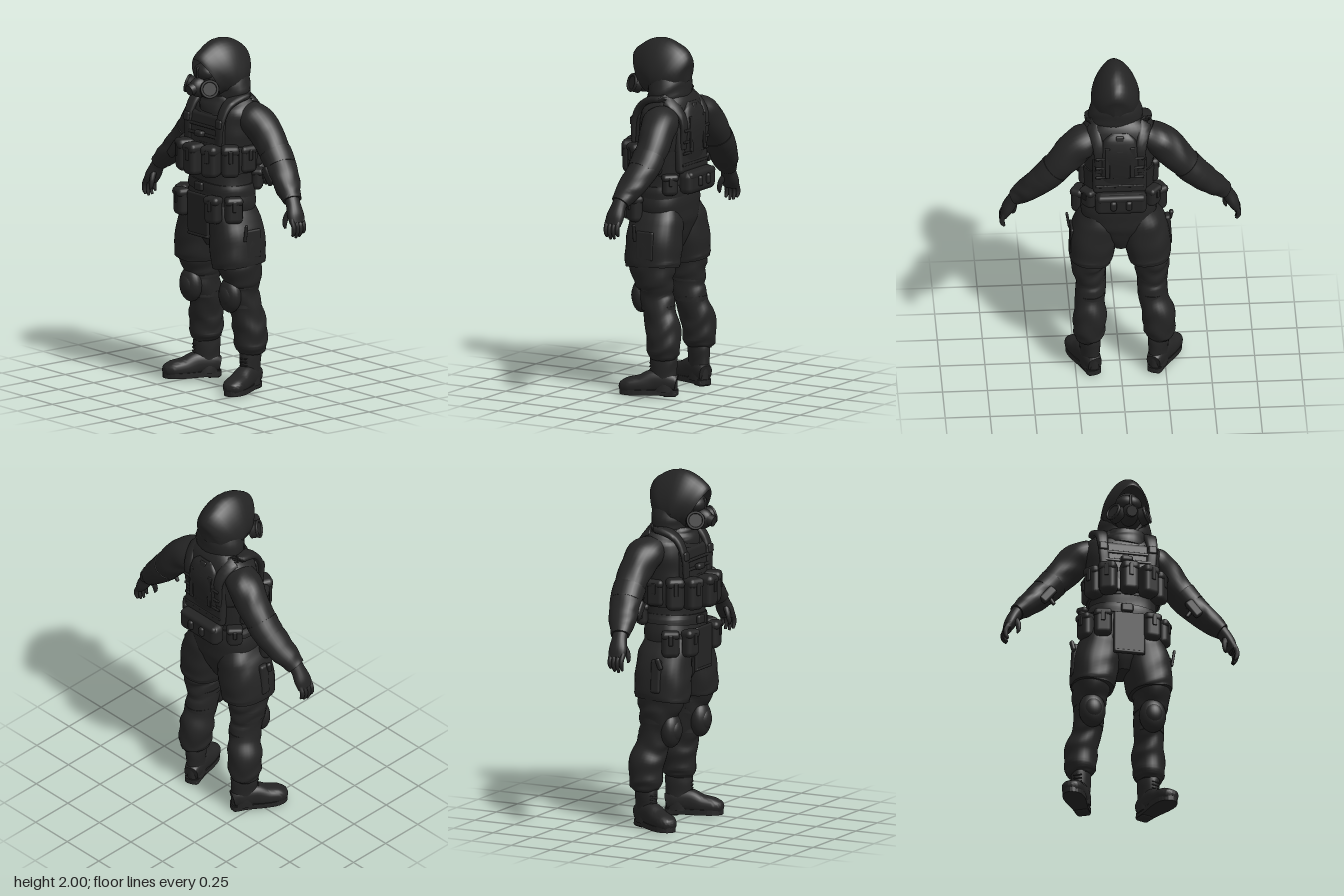
import * as THREE from 'three';
import { toCreasedNormals } from 'three/addons/utils/BufferGeometryUtils.js';
import { RoundedBoxGeometry } from 'three/addons/geometries/RoundedBoxGeometry.js';

const fabric = new THREE.MeshStandardMaterial({ color: 0x242424, side: THREE.DoubleSide });
fabric.name = 'charcoal';

function add(parent, name, geo, x = 0, y = 0, z = 0, rx = 0, ry = 0, rz = 0) {
  const m = new THREE.Mesh(geo, fabric);
  m.name = name;
  m.position.set(x, y, z);
  m.rotation.set(rx, ry, rz, 'YXZ');
  parent.add(m);
  return m;
}

const box = (parent, name, w, h, d, x, y, z, ry = 0, rx = 0, rz = 0, r = 0.015) =>
  add(parent, name, new RoundedBoxGeometry(w, h, d, 2, Math.min(r, w / 2.1, h / 2.1, d / 2.1)), x, y, z, rx, ry, rz);

// Smooth loft through rings [x, y, z, halfWidth, halfDepth]; ref is the depth axis, taper narrows its far side.
function loft(rings, { ref = [0, 0, 1], seg = 28, sub = 5, square = 2, folds = 0, taper = 0, cap = true } = {}) {
  const path = new THREE.CatmullRomCurve3(rings.map(r => new THREE.Vector3(r[0], r[1], r[2])));
  const size = new THREE.CatmullRomCurve3(rings.map(r => new THREE.Vector3(r[3], r[4], 0)));
  const n = (rings.length - 1) * sub, pos = [], idx = [];
  const row = (c, U, V, a, b, v) => {
    for (let j = 0; j < seg; j++) {
      const q = j / seg * Math.PI * 2, cs = Math.cos(q), sn = Math.sin(q), e = 2 / square;
      const k = 1 + folds * Math.sin(v * 4.2 + 1.5 * Math.sin(q * 2 + v) + Math.cos(q * 3));
      const p = c.clone().addScaledVector(U, Math.sign(cs) * Math.abs(cs) ** e * a * k * (1 - taper * sn))
        .addScaledVector(V, Math.sign(sn) * Math.abs(sn) ** e * b * k);
      pos.push(p.x, p.y, p.z);
    }
  };
  for (let i = 0; i <= n; i++) {
    const c = path.getPoint(i / n), s = size.getPoint(i / n), t = path.getTangent(i / n);
    const V = new THREE.Vector3(...ref);
    V.addScaledVector(t, -V.dot(t)).normalize();
    const U = new THREE.Vector3().crossVectors(t, V);
    if (i === 0 && cap) row(c, U, V, 0, 0, 0);
    row(c, U, V, Math.max(s.x, 0), Math.max(s.y, 0), i / sub);
    if (i === n && cap) row(c, U, V, 0, 0, 0);
  }
  const rows = pos.length / 3 / seg;
  for (let i = 0; i < rows - 1; i++) for (let j = 0; j < seg; j++) {
    const a = i * seg + j, b = i * seg + (j + 1) % seg;
    idx.push(a, a + seg, b, b, a + seg, b + seg);
  }
  const g = new THREE.BufferGeometry();
  g.setAttribute('position', new THREE.Float32BufferAttribute(pos, 3));
  g.setIndex(idx);
  return toCreasedNormals(g, 0.9);
}

const ball = (parent, name, rx, ry, rz, x, y, z) =>
  add(parent, name, new THREE.SphereGeometry(1, 24, 16), x, y, z).scale.set(rx, ry, rz);

// Pouch with an overlapping lid and a closing tab
function pouch(parent, name, w, h, d, x, y, z, ry) {
  const g = new THREE.Group();
  g.name = name;
  g.position.set(x, y, z);
  g.rotation.y = ry;
  parent.add(g);
  box(g, 'pouchBody', w, h, d, 0, 0, 0, 0, 0, 0, 0.03);
  box(g, 'pouchLid', w + 0.004, h * 0.32, d + 0.008, 0, h * 0.35, 0.001, 0, 0, 0, 0.026);
  box(g, 'pouchTab', w * 0.25, h * 0.4, 0.01, 0, h * 0.18, d / 2 + 0.003);
}

function buildHead(root) {
  const head = new THREE.Group();
  head.name = 'head';
  head.position.x = 0.025;
  root.add(head);
  add(head, 'hood', loft([
    [0, 1.785, 0.135, 0.095, 0.128], [0, 1.81, 0.09, 0.115, 0.152], [0, 1.828, 0.02, 0.132, 0.17],
    [0, 1.805, -0.05, 0.13, 0.16], [0, 1.765, -0.11, 0.095, 0.105], [0, 1.75, -0.14, 0.02, 0.02],
  ], { ref: [0, 1, 0], seg: 36, cap: false, folds: 0.008, taper: 0.24 }));
  add(head, 'hoodSkirt', loft([
    [0, 1.64, -0.03, 0.13, 0.1], [0, 1.69, -0.03, 0.152, 0.112], [0, 1.75, -0.028, 0.145, 0.114], [0, 1.83, -0.02, 0.118, 0.1],
  ], { folds: 0.015 }));
  // Gas mask
  ball(head, 'face', 0.085, 0.115, 0.09, -0.005, 1.785, 0.075);
  ball(head, 'visor', 0.074, 0.05, 0.055, -0.01, 1.815, 0.125);
  box(head, 'visorBridge', 0.014, 0.07, 0.02, -0.01, 1.815, 0.173);
  ball(head, 'maskSnout', 0.05, 0.06, 0.075, -0.012, 1.735, 0.15);
  add(head, 'outletValve', new THREE.CylinderGeometry(0.03, 0.036, 0.05, 20), -0.014, 1.73, 0.21, Math.PI / 2 + 0.25);
  for (const s of [1, -1]) {
    const f = new THREE.Group();
    f.name = 'filter';
    f.position.set(s * 0.078 - 0.01, 1.735, 0.155);
    f.rotation.set(0.1, -s * 0.55, -s * (Math.PI / 2 - 0.25), 'YXZ');
    head.add(f);
    add(f, 'filterCan', new THREE.CylinderGeometry(0.048, 0.052, 0.045, 24));
    add(f, 'filterRim', new THREE.TorusGeometry(0.045, 0.008, 8, 24), 0, 0.022, 0, Math.PI / 2);
  }
}

function buildTorso(root) {
  add(root, 'torso', loft([
    [0, 0.82, 0, 0.05, 0.09], [0, 0.9, 0, 0.12, 0.125], [0, 0.98, 0, 0.195, 0.148], [0.005, 1.08, -0.005, 0.213, 0.151], [0.01, 1.2, -0.005, 0.188, 0.142],
    [0.01, 1.32, -0.01, 0.19, 0.145], [0.01, 1.45, -0.03, 0.205, 0.155], [0.01, 1.56, -0.035, 0.215, 0.152],
    [0.01, 1.63, -0.035, 0.195, 0.128], [0.01, 1.69, -0.02, 0.12, 0.1],
  ], { seg: 40, square: 2.4, folds: 0.012 }));
  add(root, 'collar', loft([[0.015, 1.6, 0, 0.13, 0.125], [0.02, 1.65, 0.005, 0.125, 0.11], [0.02, 1.69, 0.01, 0.1, 0.09]], { folds: 0.03 }));
  // Plate carrier, front and back
  box(root, 'chestPlate', 0.29, 0.32, 0.06, 0.01, 1.42, 0.105, 0, -0.1, 0, 0.025);
  box(root, 'backPlate', 0.3, 0.36, 0.05, 0.01, 1.44, -0.148, 0, 0.07, 0, 0.024);
  add(root, 'hydrationPack', loft([
    [0.01, 1.32, -0.16, 0.1, 0.02], [0.01, 1.4, -0.165, 0.11, 0.03], [0.01, 1.52, -0.17, 0.108, 0.037], [0.01, 1.61, -0.16, 0.09, 0.03], [0.01, 1.65, -0.15, 0.05, 0.014],
  ], { square: 2.8 }));
  box(root, 'dragHandle', 0.045, 0.1, 0.016, 0.01, 1.595, -0.186, 0, 0.25);
  add(root, 'cummerbund', loft([[0.01, 1.25, -0.01, 0.2, 0.152], [0.01, 1.33, -0.012, 0.205, 0.158], [0.01, 1.4, -0.02, 0.205, 0.16]], { square: 2.5 }));
  for (let i = 0; i < 4; i++) {
    box(root, 'backWebbing', 0.27, 0.016, 0.01, 0.01, 1.31 + i * 0.065, -0.18 - i * 0.005, 0, 0.07);
    if (i < 2) box(root, 'chestWebbing', 0.27, 0.018, 0.012, 0.01, 1.46 + i * 0.05, 0.136 - i * 0.004, 0, -0.1);
  }
  box(root, 'chestClip', 0.07, 0.035, 0.04, 0.0, 1.465, 0.15);
  for (const s of [1, -1]) {
    const x = 0.01 + s * 0.14;
    add(root, 'shoulderStrap', loft([
      [x - s * 0.01, 1.42, 0.13, 0.028, 0.012], [x, 1.55, 0.122, 0.03, 0.014], [x, 1.635, 0.075, 0.036, 0.018], [x + s * 0.005, 1.675, -0.01, 0.043, 0.02],
      [x, 1.655, -0.1, 0.038, 0.02], [x - s * 0.02, 1.57, -0.172, 0.03, 0.015], [x - s * 0.03, 1.4, -0.172, 0.026, 0.012],
    ], { ref: [0, 0.3, 1], seg: 16, square: 3 }));
    box(root, 'strapBuckle', 0.05, 0.05, 0.022, x, 1.54, 0.135, 0, -0.1);
    box(root, 'backStrap', 0.028, 0.2, 0.01, 0.01 + s * 0.07, 1.48, -0.198, 0, 0.03);
  }
  // Chest magazine pouches wrapped around the front
  for (const [x, z, a] of [[0, 0.195, 0], [0.115, 0.165, 0.4], [-0.115, 0.165, -0.4], [0.185, 0.085, 0.95], [-0.175, 0.085, -0.95]])
    pouch(root, 'magazinePouch', 0.1, 0.18, 0.095, x + 0.005, 1.33, z, a);
  for (const s of [1, -1]) pouch(root, 'sidePouch', 0.1, 0.15, 0.05, 0.01 + s * 0.195, 1.33, -0.03, s * 1.5);
}

function buildBelt(root) {
  add(root, 'belt', loft([[0.005, 1.135, -0.005, 0.21, 0.152], [0.008, 1.165, -0.005, 0.207, 0.153], [0.01, 1.195, -0.005, 0.196, 0.15]], { square: 2.4 }));
  box(root, 'beltBuckle', 0.07, 0.05, 0.025, 0, 1.165, 0.155);
  box(root, 'rearPack', 0.29, 0.13, 0.085, 0.005, 1.21, -0.192, 0, 0, 0, 0.035);
  box(root, 'rearPackLid', 0.27, 0.045, 0.09, 0.005, 1.25, -0.192, 0, 0, 0, 0.02);
  for (const s of [1, -1]) {
    box(root, 'rearPackBuckle', 0.035, 0.06, 0.03, 0.005 + s * 0.043, 1.215, -0.237);
    pouch(root, 'beltPouchRear', 0.09, 0.12, 0.06, s * 0.18, 1.2, -0.12, s * 2.3);
    pouch(root, 'hipPouchFront', 0.1, 0.155, 0.07, s * 0.14, 1.055, 0.165, s * 0.2);
    pouch(root, 'hipPouchSide', 0.1, 0.15, 0.07, s * 0.222, 1.055, 0.085, s * 1.05);
  }
  // Front groin flap
  box(root, 'frontFlap', 0.18, 0.25, 0.022, 0.01, 1.005, 0.165, 0, 0.02, 0, 0.012);
  box(root, 'frontFlapHem', 0.175, 0.02, 0.026, 0.01, 0.892, 0.164);
  // Holster on the right thigh, pocket and small tool on the left
  box(root, 'holster', 0.035, 0.19, 0.06, -0.27, 0.875, 0.02, 0, 0, -0.06);
  box(root, 'holsterGrip', 0.025, 0.07, 0.03, -0.285, 0.95, 0.045, 0, -0.3, 0.15);
  box(root, 'thighPocket', 0.02, 0.16, 0.11, 0.27, 0.86, -0.01, 0, 0, 0.03);
  box(root, 'thighTool', 0.015, 0.1, 0.02, 0.285, 0.93, 0.05, 0, 0, -0.15);
}

function buildLeg(root, s) {
  const g = new THREE.Group();
  g.name = s > 0 ? 'leftLeg' : 'rightLeg';
  root.add(g);
  const o = -0.02; // lower legs stand slightly to the right
  add(g, 'thighCover', loft([
    [s * 0.115, 1.07, 0, 0.075, 0.12], [s * 0.125, 0.98, 0, 0.118, 0.15], [s * 0.148, 0.86, 0, 0.132, 0.156], [s * 0.161, 0.76, 0.002, 0.124, 0.157], [s * 0.165, 0.725, 0, 0.117, 0.153],
  ], { square: 2.5, folds: 0.012 }));
  add(g, 'trouserLeg', loft([
    [s * 0.168, 0.76, 0, 0.105, 0.14], [s * 0.175, 0.68, -0.01, 0.1, 0.126], [s * 0.173 + o / 3, 0.62, -0.018, 0.09, 0.105], [s * 0.17 + o / 3, 0.55, -0.025, 0.083, 0.1],
    [s * 0.178 + o / 2, 0.46, -0.05, 0.083, 0.095], [s * 0.19 + o, 0.37, -0.07, 0.092, 0.1],
    [s * 0.195 + o, 0.28, -0.075, 0.09, 0.096], [s * 0.195 + o, 0.235, -0.075, 0.08, 0.088], [s * 0.193 + o, 0.215, -0.075, 0.06, 0.07],
  ], { folds: 0.035, sub: 7 }));
  // Knee pad with straps
  ball(g, 'kneePad', 0.076, 0.1, 0.055, s * 0.172 + o / 3, 0.56, 0.066);
  ball(g, 'kneePadCap', 0.055, 0.065, 0.04, s * 0.172 + o / 3, 0.56, 0.088);
  for (const [y, z, r] of [[0.5, -0.037, 0.083], [0.615, -0.017, 0.089]])
    add(g, 'kneeStrap', loft([[s * 0.172 + o / 3, y - 0.014, z, r, r + 0.016], [s * 0.172 + o / 3, y + 0.014, z, r, r + 0.016]], { sub: 1 }));
  // Boot, toe turned outwards
  const b = new THREE.Group();
  b.name = 'boot';
  b.position.set(s * 0.193 + o, 0, -0.07);
  b.rotation.y = s > 0 ? 0.38 : -0.47;
  g.add(b);
  add(b, 'bootShaft', loft([[0, 0.03, -0.005, 0.052, 0.075], [0, 0.12, -0.005, 0.05, 0.075], [0, 0.2, -0.005, 0.055, 0.077], [0, 0.25, -0.005, 0.055, 0.075]], { folds: 0.015 }));
  add(b, 'bootFoot', loft([
    [0, 0.075, -0.075, 0.04, 0.045], [0, 0.085, -0.03, 0.05, 0.06], [0, 0.085, 0.05, 0.053, 0.065],
    [0, 0.066, 0.12, 0.06, 0.053], [0, 0.057, 0.19, 0.06, 0.045], [0, 0.048, 0.233, 0.04, 0.03], [0, 0.045, 0.246, 0.01, 0.01],
  ], { ref: [0, 1, 0], square: 2.5 }));
  const sole = new THREE.Shape();
  sole.moveTo(-0.042, -0.06);
  sole.bezierCurveTo(-0.04, -0.095, 0.04, -0.095, 0.042, -0.06);
  sole.bezierCurveTo(0.04, 0.04, 0.062, 0.08, 0.061, 0.16);
  sole.bezierCurveTo(0.055, 0.273, -0.055, 0.273, -0.061, 0.16);
  sole.bezierCurveTo(-0.062, 0.08, -0.04, 0.04, -0.042, -0.06);
  add(b, 'bootSole', new THREE.ExtrudeGeometry(sole, { depth: 0.03, bevelEnabled: false }), 0, 0.04, 0, Math.PI / 2);
  box(b, 'bootHeel', 0.08, 0.035, 0.08, 0, 0.0175, -0.04);
  for (let i = 0; i < 4; i++) box(b, 'lace', 0.05, 0.008, 0.008, 0, 0.13 + i * 0.02, 0.07);
}

function buildArm(root, s) {
  const g = new THREE.Group();
  g.name = s > 0 ? 'leftArm' : 'rightArm';
  root.add(g);
  add(g, 'sleeve', loft([
    [s * 0.15, 1.585, -0.06, 0.07, 0.09], [s * 0.23, 1.54, -0.08, 0.094, 0.105], [s * 0.31, 1.455, -0.095, 0.09, 0.092], [s * 0.395, 1.355, -0.093, 0.078, 0.09],
    [s * 0.48, 1.265, -0.073, 0.07, 0.085], [s * 0.54, 1.205, -0.05, 0.058, 0.07], [s * 0.585, 1.163, -0.038, 0.045, 0.054],
  ], { folds: 0.028, sub: 7 }));
  add(g, 'elbowBand', loft([[s * 0.365, 1.39, -0.094, 0.085, 0.094], [s * 0.395, 1.355, -0.093, 0.082, 0.093], [s * 0.428, 1.32, -0.087, 0.077, 0.09]]));
  // Forearm device and its tip
  box(g, 'forearmDevice', 0.055, 0.11, 0.03, s * 0.415, 1.275, -0.005, 0, 0, s * 0.7);
  box(g, 'forearmDeviceTip', 0.022, 0.07, 0.02, s * 0.395, 1.25, -0.015, 0, 0, -s * 0.6);
  // Glove
  add(g, 'glove', loft([
    [s * 0.565, 1.185, -0.043, 0.04, 0.046], [s * 0.595, 1.145, -0.036, 0.035, 0.044], [s * 0.624, 1.09, -0.03, 0.034, 0.053], [s * 0.644, 1.045, -0.026, 0.023, 0.05],
  ], { seg: 20 }));
  for (let i = 0; i < 4; i++) {
    const z = 0.01 - i * 0.024, d = [0.012, 0, 0.004, 0.02][i];
    add(g, 'finger', loft([
      [s * 0.637, 1.07, z, 0.015, 0.014], [s * 0.657, 1.03, z, 0.014, 0.013], [s * 0.657, 0.995 + d / 2, z, 0.013, 0.012], [s * 0.645, 0.965 + d, z, 0.007, 0.007],
    ], { seg: 10, sub: 3 }));
  }
  add(g, 'thumb', loft([
    [s * 0.605, 1.12, -0.02, 0.02, 0.018], [s * 0.588, 1.075, 0.008, 0.017, 0.016], [s * 0.588, 1.03, 0.018, 0.012, 0.012], [s * 0.594, 1.012, 0.018, 0.005, 0.005],
  ], { seg: 10, sub: 3 }));
}

export function createModel() {
  const root = new THREE.Group();
  root.name = 'maskedSoldier';
  buildHead(root);
  buildTorso(root);
  buildBelt(root);
  for (const s of [1, -1]) {
    buildLeg(root, s);
    buildArm(root, s);
  }
  return root;
}
